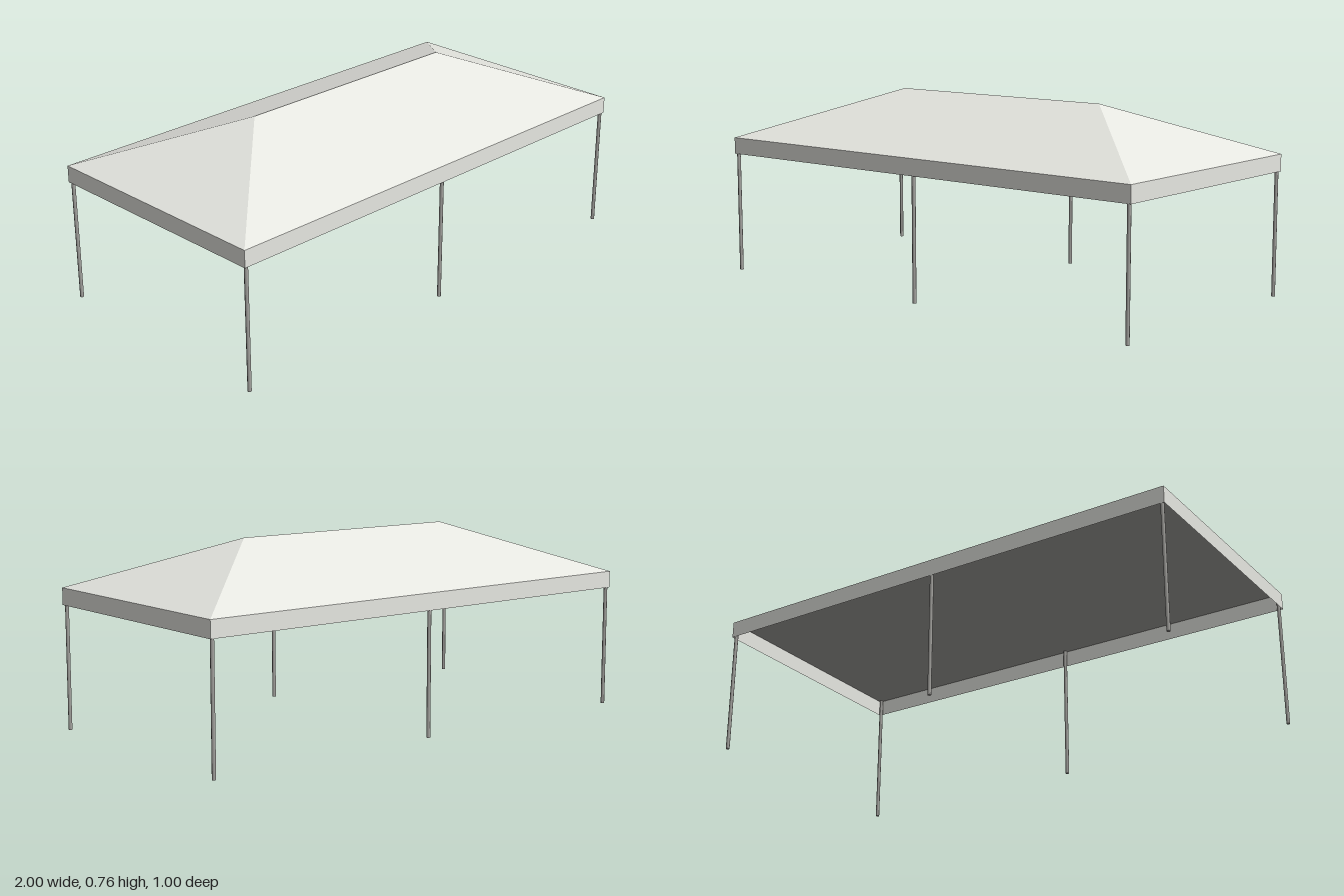
import * as THREE from 'three';

const EAVE = 0.557, RIDGE = 0.757, DROP = 0.067, HALF_X = 1, HALF_Z = 0.5;
const POLE_RADIUS = 0.0075, POLE_HEIGHT = EAVE - 0.001;

// Flat-shaded mesh from convex polygons, each listed counter-clockwise from outside
function polygonMesh(name, faces, material) {
  const points = [];
  for (const f of faces)
    for (let i = 1; i < f.length - 1; i++) points.push(...f[0], ...f[i], ...f[i + 1]);
  const geometry = new THREE.BufferGeometry();
  geometry.setAttribute('position', new THREE.Float32BufferAttribute(points, 3));
  geometry.computeVertexNormals();
  const mesh = new THREE.Mesh(geometry, material);
  mesh.name = name;
  return mesh;
}

export function createModel() {
  const canvas = new THREE.MeshStandardMaterial({ color: 0xe7e8e2, side: THREE.DoubleSide });
  canvas.name = 'off-white canvas';
  const grey = new THREE.MeshStandardMaterial({ color: 0xa6a5a1 });
  grey.name = 'grey';

  const group = new THREE.Group();
  group.name = 'canopyTent';

  // Eave corners, counter-clockwise from above, and the two ridge ends
  const corners = [[-1, 1], [1, 1], [1, -1], [-1, -1]].map(([x, z]) => [x * HALF_X, EAVE, z * HALF_Z]);
  const [frontRight, frontLeft, backLeft, backRight] = corners;
  const ridgeRight = [-0.5, RIDGE, 0], ridgeLeft = [0.5, RIDGE, 0];

  // Hipped roof
  group.add(polygonMesh('roof', [
    [frontRight, frontLeft, ridgeLeft, ridgeRight],
    [frontLeft, backLeft, ridgeLeft],
    [backLeft, backRight, ridgeRight, ridgeLeft],
    [backRight, frontRight, ridgeRight],
  ], canvas));

  // Flat grey ceiling under the roof
  group.add(polygonMesh('ceiling', [[...corners].reverse()], grey));

  // Valance hanging from the eaves
  const lower = ([x, y, z]) => [x, y - DROP, z];
  group.add(polygonMesh('valance', corners.map((a, i) => {
    const b = corners[(i + 1) % 4];
    return [lower(a), lower(b), b, a];
  }), canvas));

  // Six slim round poles, just inside the valance
  const poleGeometry = new THREE.CylinderGeometry(POLE_RADIUS, POLE_RADIUS, POLE_HEIGHT, 8);
  for (const x of [-0.987, 0, 0.987])
    for (const z of [-0.49, 0.49]) {
      const pole = new THREE.Mesh(poleGeometry, grey);
      pole.name = 'pole';
      pole.position.set(x, POLE_HEIGHT / 2, z);
      group.add(pole);
    }

  return group;
}
